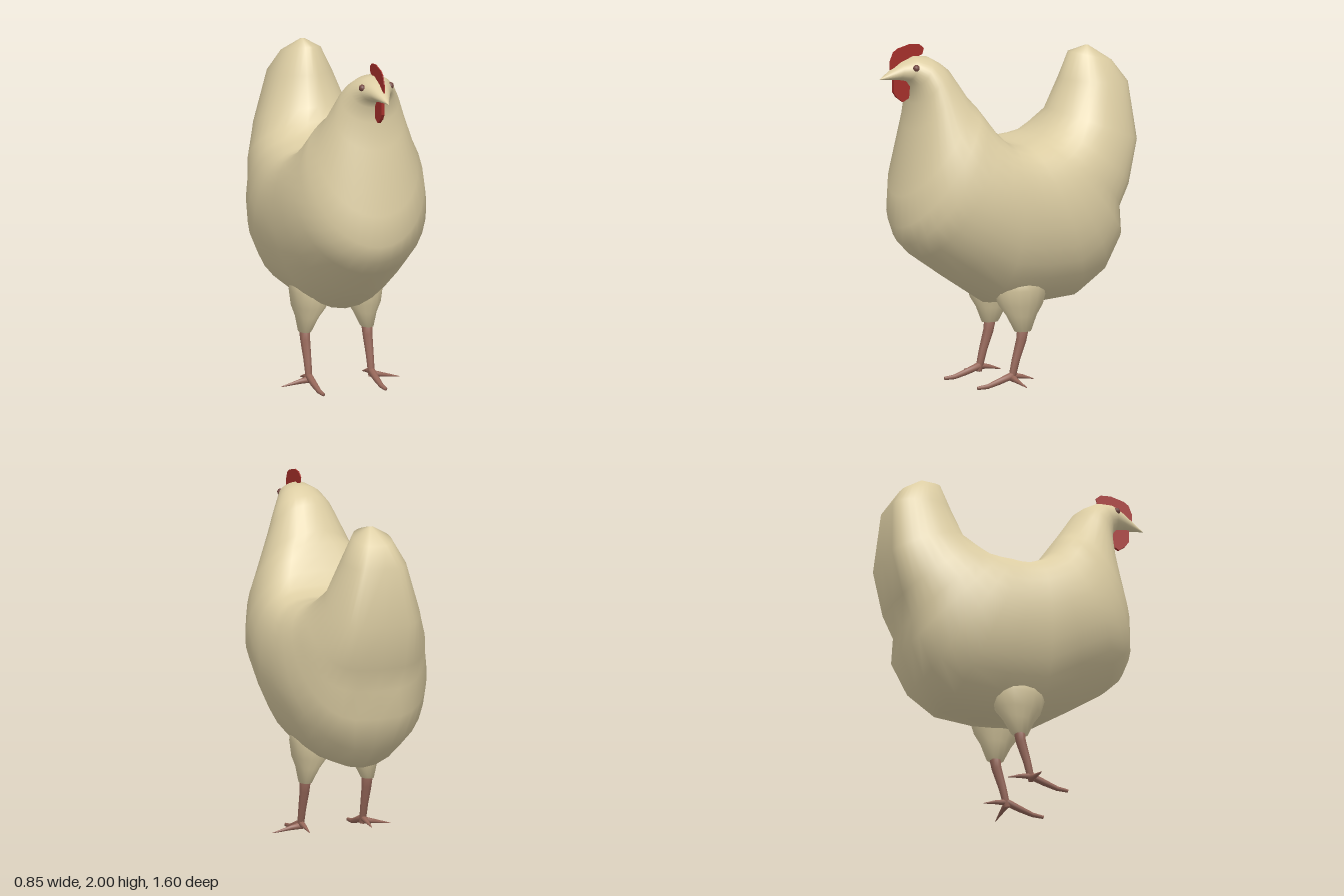
import * as THREE from 'three';

const mat = (name, color) => {
  const m = new THREE.MeshStandardMaterial({ color });
  m.name = name;
  return m;
};

// Smooth skin through rings of equal point count
function skin(rings) {
  const n = rings[0].length, idx = [];
  for (let i = 0; i < rings.length - 1; i++)
    for (let j = 0; j < n; j++) {
      const a = i * n + j, c = i * n + (j + 1) % n;
      idx.push(a, a + n, c, c, a + n, c + n);
    }
  const g = new THREE.BufferGeometry();
  g.setAttribute('position', new THREE.Float32BufferAttribute(rings.flat(2), 3));
  g.setIndex(idx);
  g.computeVertexNormals();
  return g;
}

// Sections fanned from tail tip to beak tip:
// [saddle z, y, outer z, y, half width, skew of the widest point towards the saddle]
const SECTIONS = [
  [-0.55, 1.9, -0.56, 1.9, 0.01, 1],
  [-0.44, 1.87, -0.69, 1.81, 0.11, 0.85],
  [-0.38, 1.72, -0.77, 1.69, 0.18, 0.85],
  [-0.31, 1.55, -0.795, 1.36, 0.27, 0.9],
  [-0.25, 1.48, -0.73, 1.1, 0.34, 1],
  [-0.2, 1.43, -0.67, 0.96, 0.37, 1.1],
  [-0.14, 1.41, -0.68, 0.8, 0.39, 1.2],
  [-0.09, 1.4, -0.59, 0.6, 0.415, 1.25],
  [-0.05, 1.39, -0.43, 0.47, 0.425, 1.3],
  [0, 1.39, -0.18, 0.45, 0.425, 1.35],
  [0.05, 1.41, 0.12, 0.47, 0.425, 1.35],
  [0.09, 1.43, 0.35, 0.62, 0.42, 1.3],
  [0.15, 1.5, 0.57, 0.77, 0.4, 1.2],
  [0.2, 1.58, 0.65, 0.85, 0.37, 1.2],
  [0.24, 1.64, 0.69, 0.95, 0.345, 1.2],
  [0.28, 1.7, 0.69, 1.13, 0.295, 1.1],
  [0.37, 1.84, 0.61, 1.5, 0.21, 1],
  [0.42, 1.88, 0.59, 1.66, 0.175, 1],
  [0.49, 1.92, 0.6, 1.75, 0.135, 1],
  [0.58, 1.93, 0.63, 1.79, 0.098, 1],
  [0.66, 1.9, 0.68, 1.8, 0.06, 1],
  [0.8, 1.81, 0.8, 1.81, 0, 1],
];

// Wide sections are squarer at the saddle; rear ones are squarer at the back
function bodyGeometry() {
  const N = 32, { lerp } = THREE.MathUtils;
  return skin(SECTIONS.map(([iz, iy, oz, oy, w, skew]) => {
    const saddlePower = 1 - 3.4 * Math.max(0, w - 0.3);
    const outerPower = 1 - 2.1 * Math.max(0, -0.5 - oz);
    return Array.from({ length: N }, (_, j) => {
      const a = j / N * Math.PI * 2;
      const t = (1 - Math.cos(a)) / 2, s = Math.sin(a), d = t ** skew;
      const x = Math.sign(s) * w * Math.abs(s) ** lerp(saddlePower, outerPower, t);
      return [x, lerp(iy, oy, d), lerp(iz, oz, d)];
    });
  }));
}

// Feathered thigh: a lathe that leans inward as it rises
function thighGeometry(side) {
  const g = new THREE.LatheGeometry([
    [0, 0.31], [0.036, 0.32], [0.066, 0.41], [0.096, 0.47], [0.12, 0.56], [0.12, 0.65], [0, 0.8],
  ].map(p => new THREE.Vector2(...p)), 16);
  const p = g.attributes.position;
  for (let i = 0; i < p.count; i++) {
    p.setX(i, p.getX(i) + side * (0.19 - 0.16 * (p.getY(i) - 0.32)));
    p.setZ(i, p.getZ(i) * 1.4 - 0.03);
  }
  return g;
}

// Tapering limb along points [x, y, z, radius], closed at both ends
function limb(points) {
  const N = 8, last = points.length - 1;
  const pts = points.map(([x, y, z]) => new THREE.Vector3(x, y, z));
  const ring = (i, r) => {
    const dir = pts[Math.min(i + 1, last)].clone().sub(pts[Math.max(i - 1, 0)]).normalize();
    const ref = Math.abs(dir.y) > 0.8 ? new THREE.Vector3(0, 0, 1) : new THREE.Vector3(0, 1, 0);
    const u = ref.cross(dir).normalize(), v = dir.clone().cross(u);
    return Array.from({ length: N }, (_, j) => {
      const a = j / N * Math.PI * 2;
      return pts[i].clone().addScaledVector(u, r * Math.cos(a)).addScaledVector(v, -r * Math.sin(a)).toArray();
    });
  };
  return skin([ring(0, 0), ...points.map((p, i) => ring(i, p[3])), ring(last, 0)]);
}

// Flat fleshy plate drawn in (z, y), centred on x = 0
function plate(outline, thick) {
  const shape = new THREE.Shape(outline.map(([z, y]) => new THREE.Vector2(-z, y)));
  const g = new THREE.ExtrudeGeometry(shape, { depth: thick, bevelEnabled: false });
  return g.translate(0, 0, -thick / 2).rotateY(Math.PI / 2);
}

export function createModel() {
  const model = new THREE.Group();
  const cream = mat('cream feathers', 0xdccda3);
  const red = mat('red flesh', 0xa52f2a);
  const brown = mat('brown leg skin', 0x97685a);
  const dark = mat('dark eye', 0x744842);

  const add = (name, geometry, material, parent = model) => {
    const mesh = new THREE.Mesh(geometry, material);
    mesh.name = name;
    parent.add(mesh);
    return mesh;
  };

  add('body', bodyGeometry(), cream);

  // Comb and wattle
  add('comb', plate([[0.73, 1.86], [0.73, 1.91], [0.71, 1.96], [0.68, 1.98], [0.6, 2], [0.54, 1.995],
    [0.51, 1.97], [0.52, 1.935], [0.57, 1.92], [0.66, 1.89]], 0.006), red);
  add('wattle', plate([[0.71, 1.81], [0.71, 1.73], [0.69, 1.7], [0.65, 1.67], [0.61, 1.69],
    [0.6, 1.8]], 0.018), red);

  for (const s of [1, -1]) {
    const side = s > 0 ? 'left' : 'right';
    const eye = add(side + 'Eye', new THREE.SphereGeometry(0.02, 10, 8), dark);
    eye.position.set(s * 0.086, 1.872, 0.605);

    // Leg with three toes
    const leg = new THREE.Group();
    leg.name = side + 'Leg';
    model.add(leg);
    const x = s * 0.19;
    add('thigh', thighGeometry(s), cream, leg);
    add('shank', limb([[x, 0.36, -0.035, 0.036], [x, 0.27, -0.02, 0.03], [x, 0.16, 0.015, 0.024],
      [x, 0.04, 0.045, 0.02]]), brown, leg);
    add('frontToe', limb([[x, 0.07, 0.04, 0.022], [x, 0.042, 0.12, 0.019], [x, 0.018, 0.2, 0.014],
      [x, 0.014, 0.265, 0.01]]), brown, leg);
    add('outerToe', limb([[x, 0.055, 0.04, 0.022], [x + s * 0.06, 0.045, 0.04, 0.014],
      [s * 0.36, 0.024, 0.04, 0.002]]), brown, leg);
    add('backToe', limb([[x, 0.07, 0.045, 0.02], [x, 0.058, -0.03, 0.012],
      [x, 0.04, -0.1, 0.002]]), brown, leg);
  }
  return model;
}
